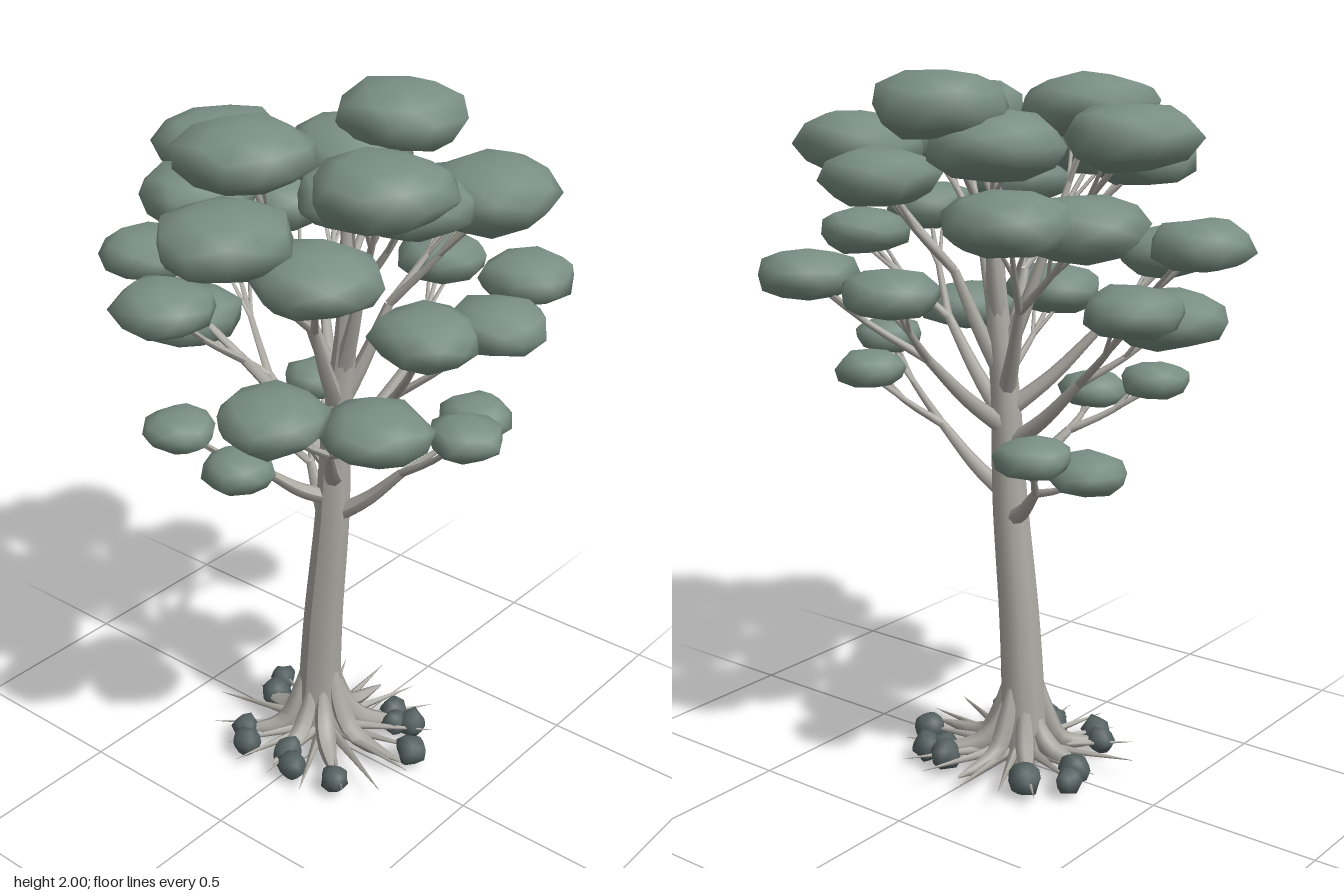
import * as THREE from 'three';
import { mergeVertices } from 'three/addons/utils/BufferGeometryUtils.js';

const V = (x, y, z) => new THREE.Vector3(x, y, z);

// Seeded random numbers
function makeRandom(seed) {
  return () => {
    seed = (seed * 16807) % 2147483647;
    return seed / 2147483647;
  };
}

// Tube along points whose radius is rule(t)
function taperedTube(points, rule, segments, sides) {
  const curve = new THREE.CatmullRomCurve3(points);
  const geo = new THREE.TubeGeometry(curve, segments, 1, sides, false);
  const pos = geo.attributes.position;
  const p = V(0, 0, 0);
  for (let i = 0; i <= segments; i++) {
    const t = i / segments;
    const c = curve.getPointAt(t);
    for (let j = 0; j <= sides; j++) {
      const k = i * (sides + 1) + j;
      p.fromBufferAttribute(pos, k).sub(c).multiplyScalar(rule(t)).add(c);
      pos.setXYZ(k, p.x, p.y, p.z);
    }
  }
  geo.computeVertexNormals();
  return geo;
}

// Lumpy squashed ball with smooth normals; fullness below 1 makes its sides blunter
function lump(r, ry, fullness, jitter, random) {
  let geo = new THREE.IcosahedronGeometry(1, 1);
  geo.deleteAttribute('uv');
  geo.deleteAttribute('normal');
  geo = mergeVertices(geo, 1e-4);
  geo.rotateX(random() * 3);
  geo.rotateY(random() * 6);
  const pos = geo.attributes.position;
  for (let i = 0; i < pos.count; i++) {
    const s = 1.02 + (random() - 0.5) * jitter;
    const y = pos.getY(i);
    pos.setXYZ(i, pos.getX(i) * s * r, Math.sign(y) * Math.abs(y) ** fullness * s * ry, pos.getZ(i) * s * r);
  }
  geo.computeVertexNormals();
  return geo;
}

// Limbs: height on the trunk, then the leaf clumps they carry as x, y, z, radius
const LIMBS = [
  [0.74, [-0.34, 0.96, -0.115, 0.105], [-0.3, 1.035, -0.3, 0.1]],
  [0.8, [0.47, 1.21, 0.02, 0.1], [0.36, 1.16, -0.18, 0.1]],
  [0.86, [-0.26, 1.12, 0.33, 0.1], [-0.05, 1.065, 0.33, 0.1]],
  [0.92, [0.17, 1.325, 0.435, 0.145], [0.36, 1.28, 0.26, 0.14]],
  [0.95, [-0.43, 1.35, 0.13, 0.16], [-0.51, 1.42, -0.17, 0.13]],
  [1.0, [0.02, 1.45, -0.47, 0.13], [0.32, 1.47, -0.46, 0.13]],
  [1.05, [-0.48, 1.54, 0.2, 0.14], [-0.27, 1.485, 0.36, 0.14]],
  [1.02, [0.49, 1.57, 0.235, 0.135], [0.51, 1.52, -0.03, 0.13]],
  [1.1, [-0.37, 1.62, -0.2, 0.165], [-0.28, 1.64, -0.37, 0.165]],
  [1.15, [0.2, 1.72, -0.31, 0.155], [0.36, 1.79, -0.2, 0.18]],
  [1.15, [0.21, 1.67, 0.31, 0.165], [0.02, 1.76, 0.43, 0.175]],
  [1.2, [-0.37, 1.83, 0.02, 0.18], [-0.27, 1.76, 0.22, 0.155], [-0.12, 1.89, 0.2, 0.18]],
  [1.25, [0.28, 1.865, 0.145, 0.18], [0.28, 1.8, 0.02, 0.16]],
  [1.3, [0.01, 1.91, -0.28, 0.18], [-0.1, 1.81, -0.2, 0.18], [0.07, 1.77, 0, 0.15]]
];

// Stones: x, z
const STONES = [
  [-0.15, 0.22], [-0.25, -0.03], [0.03, 0.22], [0.17, 0.19], [0.14, -0.14], [0.26, -0.06],
  [0.18, -0.17], [0.1, -0.18], [-0.18, -0.17], [-0.28, -0.1], [-0.02, 0.18], [-0.2, 0.17]
];

export function createModel() {
  const random = makeRandom(4711);
  const tree = new THREE.Group();
  const bark = new THREE.MeshStandardMaterial({ color: 0xacaaa3 });
  const leaf = new THREE.MeshStandardMaterial({ color: 0x798e84 });
  const stone = new THREE.MeshStandardMaterial({ color: 0x556061 });
  bark.name = 'bark';
  leaf.name = 'leaf';
  stone.name = 'stone';

  const group = (name) => {
    const g = new THREE.Group();
    g.name = name;
    tree.add(g);
    return g;
  };
  const add = (parent, name, geo, mat) => {
    const m = new THREE.Mesh(geo, mat);
    m.name = name;
    parent.add(m);
    return m;
  };

  // Leaning trunk with a closed foot
  const trunkPoints = [
    V(-0.05, 0.02, 0), V(-0.045, 0.2, 0), V(-0.026, 0.45, 0.005), V(0.008, 0.8, 0.005),
    V(0.02, 1.1, 0), V(0.045, 1.4, -0.01), V(0.05, 1.72, 0)
  ];
  const trunkRadius = (t) => 0.069 - 0.036 * t - 0.022 * t ** 4;
  add(tree, 'trunk', taperedTube(trunkPoints, trunkRadius, 28, 10), bark);
  const foot = add(tree, 'trunkFoot', new THREE.CircleGeometry(0.075, 10), bark);
  foot.rotation.x = Math.PI / 2;
  foot.position.set(-0.05, 0.02, 0);

  // Point on the trunk's centre line at a height
  const trunkAt = (y) => {
    const i = trunkPoints.findIndex((p) => p.y >= y);
    const a = trunkPoints[i - 1], b = trunkPoints[i];
    return a.clone().lerp(b, (y - a.y) / (b.y - a.y));
  };

  // Limbs fork into a branch and two twigs for every leaf clump
  const branches = group('branches');
  const crown = group('crown');
  for (const [height, ...clumps] of LIMBS) {
    const start = trunkAt(height);
    const mean = V(0, 0, 0);
    for (const [x, y, z] of clumps) mean.add(V(x, y, z).divideScalar(clumps.length));
    const spread = mean.y > 1.6 ? 0.38 : 0.52;
    const fork = start.clone().lerp(mean, spread);
    fork.y = start.y + (mean.y - start.y) * 0.5;
    const bow = start.clone().lerp(fork, 0.5);
    bow.y -= 0.015;
    add(branches, 'limb', taperedTube([start, bow, fork], (t) => 0.028 - 0.015 * t, 8, 7), bark);

    for (const [x, y, z, r] of clumps) {
      const end = V(x, y - r * 0.1, z);
      const bend = fork.clone().lerp(end, 0.5);
      bend.y -= 0.012;
      add(branches, 'branch', taperedTube([fork, bend, end], (t) => 0.0125 - 0.007 * t, 6, 6), bark);
      for (const side of [-1, 1]) {
        const a = Math.atan2(z, x) + side * (1 + random());
        const tip = V(x + Math.cos(a) * r * 0.4, y, z + Math.sin(a) * r * 0.4);
        add(branches, 'twig', taperedTube([bend, tip], (t) => 0.007 - 0.003 * t, 3, 5), bark);
      }
      const ry = r * (r > 0.12 ? 0.5 : 0.53);
      add(crown, 'leafClump', lump(r, ry, 0.88, 0.17, random), leaf).position.set(x, y, z);
    }
  }

  // Buttress roots running down the trunk into points
  const roots = group('roots');
  const rootCount = 8;
  for (let i = 0; i < rootCount; i++) {
    const a = (i / rootCount) * Math.PI * 2;
    const c = Math.cos(a), s = Math.sin(a);
    const len = 0.22 + random() * 0.07;
    const top = i % 3 ? 0.18 + random() * 0.04 : 0.27;
    const at = (d, y) => V(-0.045 + c * d + 0.1 * d, y, s * d);
    const path = [at(0.045, top), at(0.068, top * 0.6), at(0.12, 0.065), at(len, 0.045)];
    const rule = (t) => 0.003 + 0.027 * Math.sin(Math.PI * (0.1 + 0.9 * t));
    add(roots, 'buttressRoot', taperedTube(path, rule, 10, 6), bark);
  }

  // Thin root spikes lying flat around the foot
  for (let i = 0; i < 18; i++) {
    const a = (i / 18) * Math.PI * 2 + random() * 0.15;
    const len = 0.27 + random() * 0.1;
    const y = 0.045 + random() * 0.012;
    const path = [V(-0.03, y, 0), V(-0.02 + Math.cos(a) * len, y + 0.004, Math.sin(a) * len)];
    add(roots, 'rootSpike', taperedTube(path, (t) => 0.02 * (1 - t) + 0.0005, 3, 5), bark);
  }

  // Stones in a ring
  const stones = group('stones');
  for (const [x, z] of STONES) {
    const r = 0.037 + random() * 0.009;
    add(stones, 'stone', lump(r, r, 1, 0.3, random), stone).position.set(x, 0.05, z);
  }

  return tree;
}
